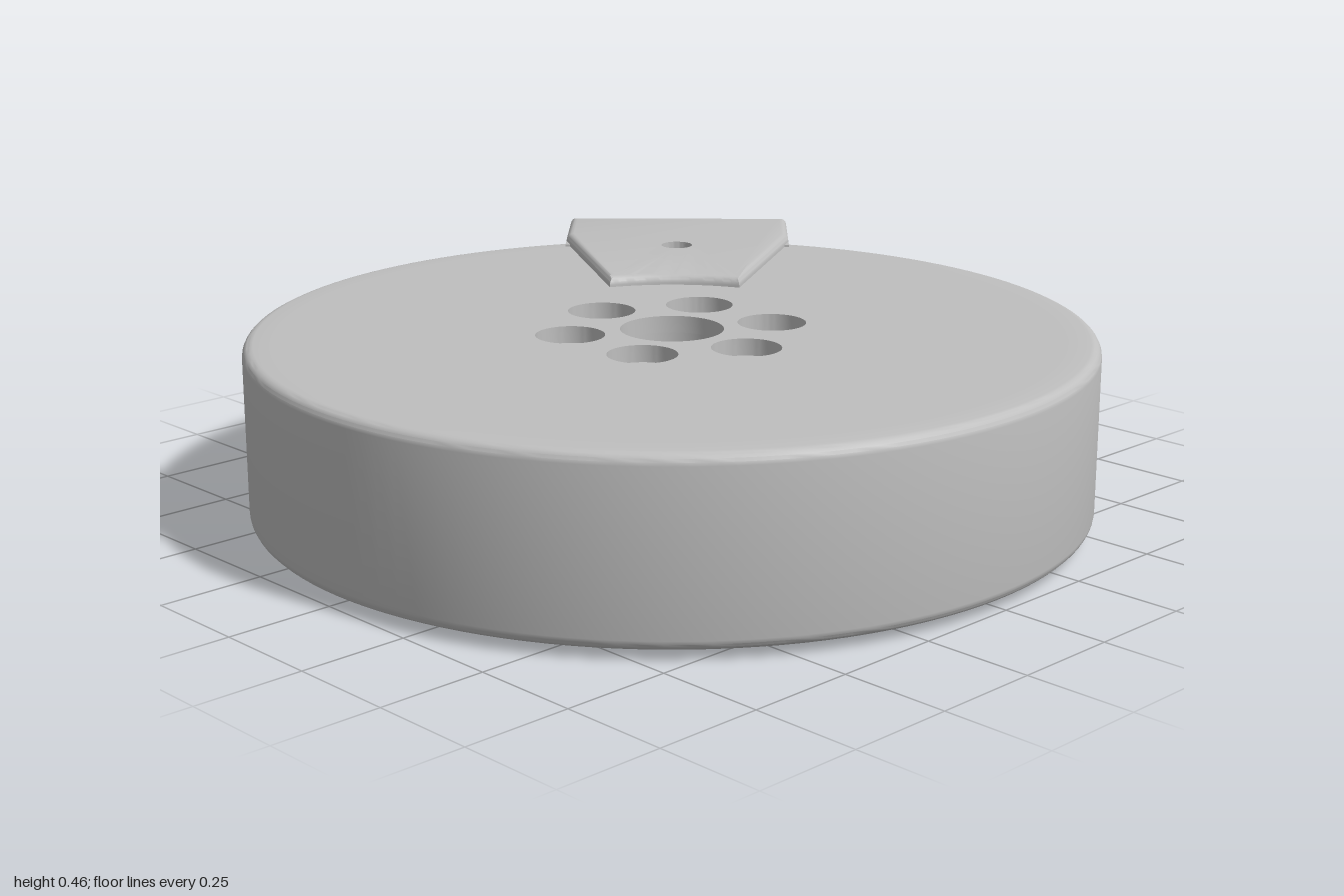
import * as THREE from 'three';
import { toCreasedNormals } from 'three/addons/utils/BufferGeometryUtils.js';

const metal = new THREE.MeshStandardMaterial({ color: 0xbfbfbf });
metal.name = 'grey metal';

const CREASE = 0.6;
const PIN_U = 0.787, PIN_R = 0.04; // vertical pin hole through the clamp and wheel

function circle(x, y, r, Type = THREE.Path) {
  const c = new Type();
  c.absarc(x, y, r, 0, Math.PI * 2, false);
  return c;
}

function addMesh(parent, name, geometry) {
  const mesh = new THREE.Mesh(toCreasedNormals(geometry, CREASE), metal);
  mesh.name = name;
  parent.add(mesh);
  return mesh;
}

// Horizontal disc between two heights, pierced by the bore and bolt circle
function discLayer(radius, y0, y1, boltRadius, withPin) {
  const shape = circle(0, 0, radius, THREE.Shape);
  shape.holes.push(circle(0, 0, 0.12));
  for (let i = 0; i < 6; i++) {
    const a = Math.PI / 2 + i * Math.PI / 3;
    shape.holes.push(circle(0.24 * Math.cos(a), 0.24 * Math.sin(a), boltRadius));
  }
  if (withPin) {
    const d = PIN_U * Math.SQRT1_2;
    shape.holes.push(circle(d, d, PIN_R + 0.001));
  }
  return new THREE.ExtrudeGeometry(shape, { depth: y1 - y0, bevelEnabled: false, curveSegments: 32 })
    .rotateX(-Math.PI / 2).translate(0, y0, 0);
}

// Rim: thin wall with rounded outer edges
function rimGeometry() {
  const points = [[0.9, 0.35], [0.94, 0.35], [0.94, 0.02]].map(p => new THREE.Vector2(...p));
  const r = 0.025;
  for (const [cy, start] of [[0.02 + r, -Math.PI / 2], [0.43 - r, 0]]) {
    for (let i = 0; i <= 5; i++) {
      const a = start + i * Math.PI / 10;
      points.push(new THREE.Vector2(0.98 - r + r * Math.cos(a), cy + r * Math.sin(a)));
    }
  }
  points.push(new THREE.Vector2(0.9, 0.43));
  return new THREE.LatheGeometry(points, 128);
}

// Clamp top: tapered tongue with a concave inner end and rounded upper edge
function clampTopGeometry() {
  const s = new THREE.Shape();
  const a = 0.372, r = 0.44;
  s.moveTo(r * Math.cos(a), -r * Math.sin(a));
  s.lineTo(0.925, -0.297);
  s.lineTo(1.145, -0.297);
  s.lineTo(1.145, 0.297);
  s.lineTo(0.925, 0.297);
  s.lineTo(r * Math.cos(a), r * Math.sin(a));
  s.absarc(0, 0, r, a, -a, true);
  s.holes.push(circle(PIN_U, 0, PIN_R));
  const b = 0.02;
  const g = new THREE.ExtrudeGeometry(s, {
    depth: 0.035, bevelThickness: b, bevelSize: b, bevelOffset: -b, bevelSegments: 4, curveSegments: 24,
  });
  // Keep the pin hole straight
  const p = g.attributes.position;
  for (let i = 0; i < p.count; i++) {
    const x = p.getX(i) - PIN_U, y = p.getY(i), d = Math.hypot(x, y);
    if (d < 0.09) p.setXY(i, PIN_U + x / d * PIN_R, y / d * PIN_R);
  }
  return g.rotateX(-Math.PI / 2).translate(0, 0.4, 0);
}

// Clamp block: upright box with three holes in its outer face
function clampBlockGeometry() {
  const s = new THREE.Shape();
  s.moveTo(-0.297, 0);
  s.lineTo(0.297, 0);
  s.lineTo(0.297, 0.435);
  s.lineTo(-0.297, 0.435);
  for (const v of [-0.17, 0, 0.17]) s.holes.push(circle(v, 0.215, 0.04));
  return new THREE.ExtrudeGeometry(s, { depth: 0.265, bevelEnabled: false, curveSegments: 24 })
    .translate(0, 0, 0.88).rotateY(Math.PI / 2);
}

export function createModel() {
  const model = new THREE.Group();
  model.name = 'wheelWithClamp';

  const wheel = new THREE.Group();
  wheel.name = 'wheel';
  addMesh(wheel, 'rim', rimGeometry());
  addMesh(wheel, 'upperPlate', discLayer(0.905, 0.39, 0.43, 0.08, true));
  addMesh(wheel, 'lowerPlate', discLayer(0.905, 0.35, 0.39, 0.042, true));
  addMesh(wheel, 'hubPad', discLayer(0.335, 0.345, 0.35, 0.042, false));

  const clamp = new THREE.Group();
  clamp.name = 'clamp';
  clamp.rotation.y = Math.PI / 4;
  addMesh(clamp, 'clampTop', clampTopGeometry());
  addMesh(clamp, 'clampBlock', clampBlockGeometry());

  model.add(wheel, clamp);
  wheel.position.set(-0.02, 0, 0.02);
  clamp.position.copy(wheel.position);
  return model;
}
